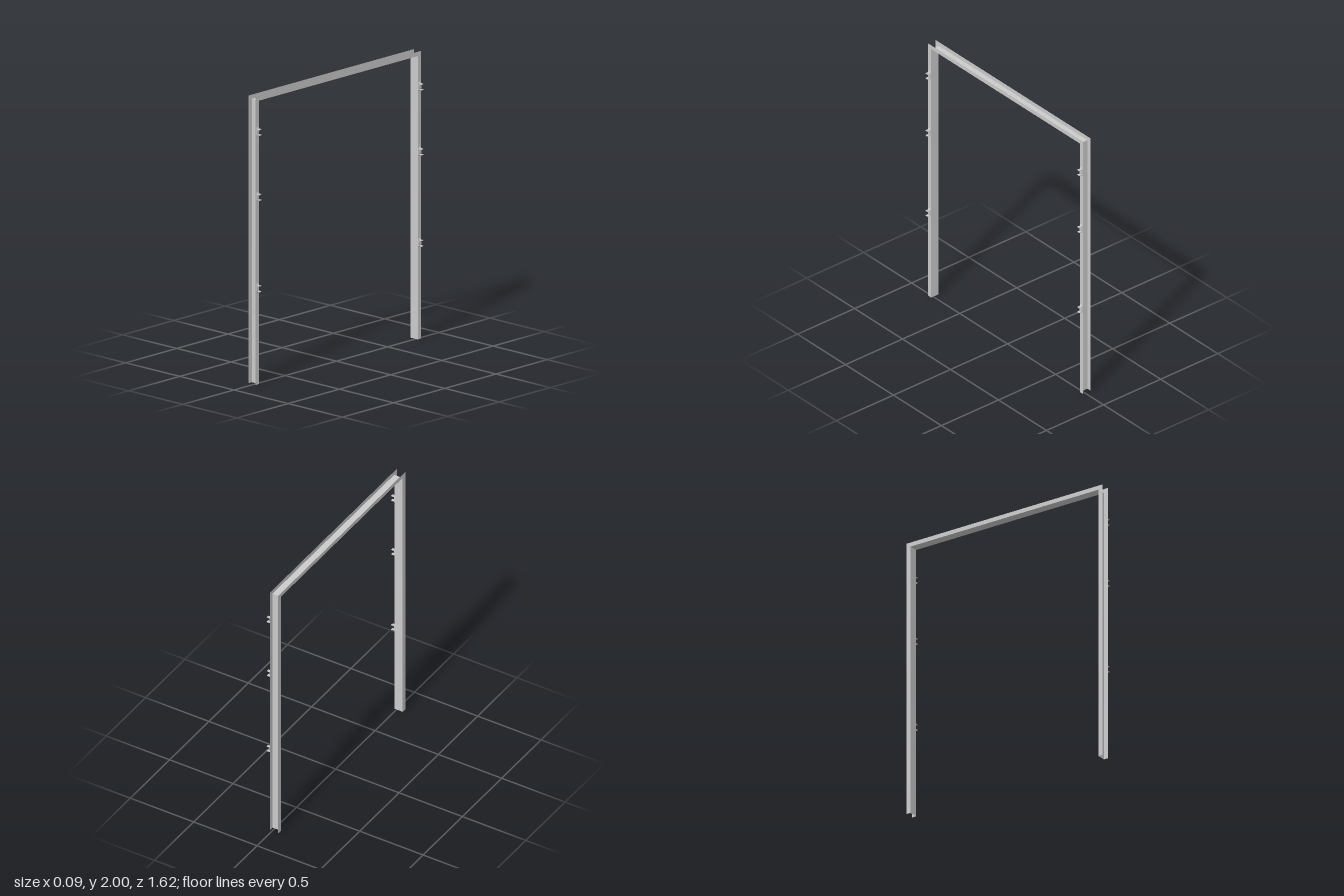
import * as THREE from 'three';

const mat = new THREE.MeshStandardMaterial({ color: 0xcccccc, side: THREE.DoubleSide, flatShading: true });

const X0 = -0.048, X1 = 0.018;   // channel depth
const OUT = 0.808, IN = 0.775;   // outer and inner half widths
const TOP = 2, HEAD = 1.97;      // flange top and head underside

function add(parent, geo, name, x = 0, y = 0, z = 0) {
  const m = new THREE.Mesh(geo, mat);
  m.name = name;
  m.position.set(x, y, z);
  parent.add(m);
  return m;
}

// Outline of one portal-shaped sheet flange, drawn across the opening
function flangeGeometry() {
  const s = new THREE.Shape([
    [-OUT, 0], [-IN, 0], [-IN, HEAD], [IN, HEAD], [IN, 0], [OUT, 0], [OUT, TOP], [-OUT, TOP],
  ].map(([a, b]) => new THREE.Vector2(a, b)));
  return new THREE.ShapeGeometry(s).rotateY(Math.PI / 2);
}

// Small clip: bowed backing strip with two projecting prongs
function createClip() {
  const clip = new THREE.Group();
  clip.name = 'clip';
  const w = 0.02;
  const strip = new THREE.Shape();
  strip.moveTo(0, -0.032);
  strip.lineTo(0.005, -0.02);
  strip.lineTo(0.008, -0.012);
  strip.lineTo(0.008, 0.012);
  strip.lineTo(0.005, 0.02);
  strip.lineTo(0, 0.032);
  const geo = new THREE.ExtrudeGeometry(strip, { depth: w, bevelEnabled: false });
  add(clip, geo, 'clipPlate', 0, 0, -w / 2);
  for (const s of [-1, 1]) {
    add(clip, new THREE.BoxGeometry(0.026, 0.003, w), 'clipProng', 0.016, s * 0.019, 0);
    add(clip, new THREE.BoxGeometry(0.007, 0.006, 0.007), 'clipProngTip', 0.022, s * 0.022, 0);
  }
  return clip;
}

export function createModel() {
  const frame = new THREE.Group();
  frame.name = 'doorFrame';
  const depth = X1 - X0, mid = (X0 + X1) / 2;

  // Side flanges of the channel
  add(frame, flangeGeometry(), 'leftFlange', X1);
  add(frame, flangeGeometry(), 'rightFlange', X0);

  // Channel webs lining the opening
  add(frame, new THREE.PlaneGeometry(depth, 2 * IN).rotateX(-Math.PI / 2), 'headWeb', mid, HEAD);
  for (const s of [1, -1]) {
    add(frame, new THREE.PlaneGeometry(depth, HEAD), s > 0 ? 'frontJambWeb' : 'backJambWeb', mid, HEAD / 2, s * IN);

    // Clips along each jamb
    for (const y of [0.67, 1.305, 1.757]) {
      const clip = createClip();
      clip.position.set(X1, y, s * 0.791);
      frame.add(clip);
    }
  }
  return frame;
}
